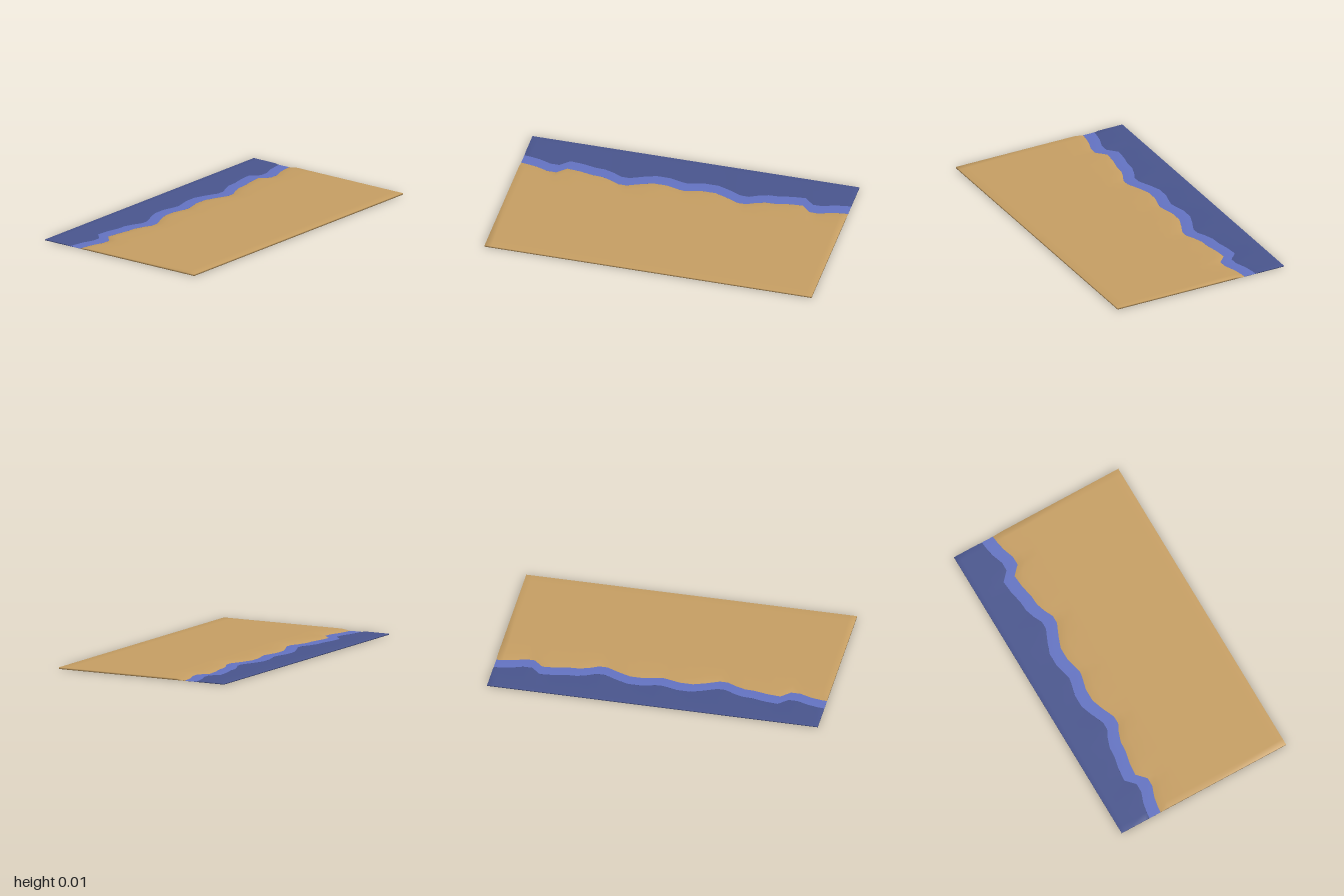
import * as THREE from 'three';

// Half of the shoreline as [z, x]; it is mirrored across z = 0
const shoreHalf = [
  [0, -0.345], [0.03, -0.35], [0.11, -0.37], [0.19, -0.37], [0.26, -0.345], [0.34, -0.31],
  [0.39, -0.31], [0.44, -0.335], [0.5, -0.355], [0.56, -0.358], [0.64, -0.375], [0.72, -0.382],
  [0.775, -0.33], [0.83, -0.33], [0.9, -0.355], [0.96, -0.366], [1, -0.37],
];
const shore = [...shoreHalf.slice(1).reverse().map(([z, x]) => [-z, x]), ...shoreHalf];
const FOAM_WIDTH = 0.075;

// Solid swept along z: section(x) gives matching [x, yBottom, yTop] columns from left to right
function loft(name, color, section) {
  const positions = [], index = [];
  let n = 0;
  for (const [z, x] of shore) {
    const columns = section(x);
    n = columns.length * 2;
    columns.forEach(([cx, bottom]) => positions.push(cx, bottom, z));
    [...columns].reverse().forEach(([cx, , top]) => positions.push(cx, top, z));
  }
  const quad = (a, b, c, d) => index.push(a, b, c, a, c, d);
  for (let r = 0; r < shore.length - 1; r++) {
    for (let i = 0; i < n; i++) {
      const j = (i + 1) % n;
      quad(r * n + i, r * n + j, (r + 1) * n + j, (r + 1) * n + i);
    }
  }
  // End caps
  const last = (shore.length - 1) * n;
  for (let i = 0; i < n / 2 - 1; i++) {
    quad(last + i, last + i + 1, last + n - 2 - i, last + n - 1 - i);
    quad(n - 1 - i, n - 2 - i, i + 1, i);
  }
  const geometry = new THREE.BufferGeometry();
  geometry.setAttribute('position', new THREE.Float32BufferAttribute(positions, 3));
  geometry.setIndex(index);
  geometry.computeVertexNormals();
  const mesh = new THREE.Mesh(geometry, new THREE.MeshStandardMaterial({ color }));
  mesh.name = name;
  return mesh;
}

export function createModel() {
  const group = new THREE.Group();
  group.name = 'beach';

  // Deep water, dipping towards the shore and running on under the foam
  group.add(loft('water', 0x4a568f, x => [
    [-0.56, 0, 0.006], [-0.53, 0, 0.006], [x - 0.03, 0, 0.006],
    [x, 0, 0.0007], [x + FOAM_WIDTH, 0, 0.0007],
  ]));

  // Shallow foam strip along the shoreline
  group.add(loft('foam', 0x6474c4, x => [
    [x, 0.0008, 0.0016], [x + FOAM_WIDTH, 0.0008, 0.0016],
  ]));

  // Sand slab with a sloping bank
  group.add(loft('sand', 0xc8a064, x => {
    const edge = x + FOAM_WIDTH;
    return [
      [edge, 0, 0.0012], [edge + 0.055, 0, 0.01],
      [-0.1, 0, 0.01], [0.5, 0, 0.01], [0.56, 0, 0.01],
    ];
  }));

  return group;
}
